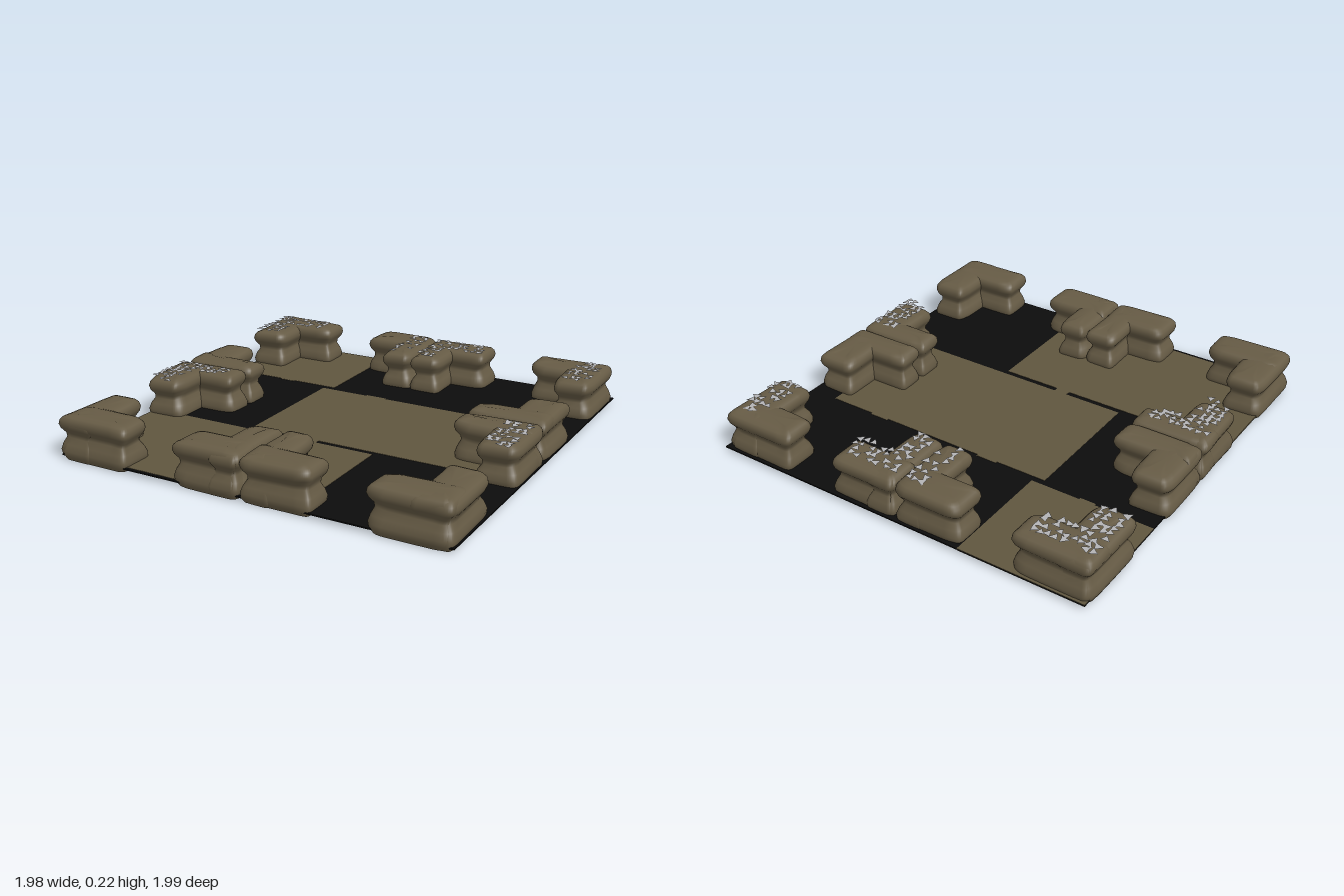
import * as THREE from 'three';

const mat = (name, color, side = THREE.FrontSide) => {
  const m = new THREE.MeshStandardMaterial({ color, side });
  m.name = name;
  return m;
};

let seed = 7;
const rand = () => ((seed = (seed * 16807) % 2147483647) / 2147483647);

// Side profile of a two-layer sandbag stack: [height, inset]
const PROFILE = [
  [0, 0.014], [0.02, 0.003], [0.045, 0], [0.075, 0.01], [0.105, 0.026], [0.125, 0.024],
  [0.15, 0.006], [0.17, 0], [0.19, 0.004], [0.203, 0.015], [0.21, 0.035], [0.212, 0.06],
];

// Pillow-like block with an open base, lofted from rounded rectangles
function bagGeometry(width, depth, lift) {
  const N = 40, pos = [], idx = [];
  const phase = rand() * 6;
  const soft = (v) => Math.sign(v) * Math.pow(Math.abs(v), 2 / 7);
  PROFILE.forEach(([y, inset], r) => {
    for (let i = 0; i < N; i++) {
      const a = (i / N) * Math.PI * 2;
      const sag = 0.004 * Math.sin(a * 3 + phase + r * 0.3);
      const h = y + (y > 0.1 ? lift + 0.003 * Math.sin(a * 2 + phase) : 0);
      pos.push((width / 2 - inset + sag) * soft(Math.cos(a)), h, (depth / 2 - inset + sag) * soft(Math.sin(a)));
    }
  });
  const rows = PROFILE.length;
  for (let r = 0; r < rows - 1; r++) {
    for (let i = 0; i < N; i++) {
      const a = r * N + i, b = r * N + ((i + 1) % N);
      idx.push(a, a + N, b, b, a + N, b + N);
    }
  }
  // Closed, slightly domed top
  pos.push(0, 0.213 + lift, 0);
  for (let i = 0; i < N; i++) idx.push((rows - 1) * N + i, rows * N, (rows - 1) * N + ((i + 1) % N));
  const g = new THREE.BufferGeometry();
  g.setAttribute('position', new THREE.Float32BufferAttribute(pos, 3));
  g.setIndex(idx);
  g.computeVertexNormals();
  return g;
}

// Scattered flat shards of snow following the top of an L-shaped wall
function snowGeometry(dx, wx, wz) {
  const pos = [], step = 0.034;
  for (let x = 0.035; x < 0.34; x += step) {
    for (let z = 0.07; z < 0.35; z += step) {
      const onZArm = x < wx - 0.03, onXArm = dx > 0 && z < wz - 0.02 && x < 0.32;
      if ((!onZArm && !onXArm) || rand() < 0.25) continue;
      const cx = x + rand() * 0.012, cz = z + rand() * 0.012;
      const turn = rand() * 6;
      for (let k = 0; k < 2; k++) {
        for (let c = 0; c < 3; c++) {
          const a = turn + k * 2.2 - c * 2.1, r = 0.016 + rand() * 0.012;
          pos.push(dx * (cx + Math.cos(a) * r), 0.217 + rand() * 0.003, cz + Math.sin(a) * r);
        }
      }
    }
  }
  const g = new THREE.BufferGeometry();
  g.setAttribute('position', new THREE.Float32BufferAttribute(pos, 3));
  // Every shard faces straight up
  g.setAttribute('normal', new THREE.Float32BufferAttribute(pos.map((_, i) => (i % 3 === 1 ? 1 : 0)), 3));
  // Wind all shards upward
  const p = g.attributes.position, idx = [];
  for (let i = 0; i < p.count; i += 3) {
    const cross = (p.getZ(i + 1) - p.getZ(i)) * (p.getX(i + 2) - p.getX(i))
      - (p.getX(i + 1) - p.getX(i)) * (p.getZ(i + 2) - p.getZ(i));
    idx.push(i, cross > 0 ? i + 1 : i + 2, cross > 0 ? i + 2 : i + 1);
  }
  g.setIndex(idx);
  return g;
}

export function createModel() {
  const model = new THREE.Group();
  model.name = 'sandbagField';
  const bagMat = mat('sandbag brown', 0x665b45);
  const earthMat = mat('earth brown', 0x60563f);
  const darkMat = mat('dark ground', 0x0c0c0c);
  const snowMat = mat('snow grey', 0xb4b4b6, THREE.DoubleSide);

  // Ground sheet and earth patches, given as x0, x1, z0, z1
  const plate = (name, material, [x0, x1, z0, z1], thickness) => {
    const m = new THREE.Mesh(new THREE.BoxGeometry(x1 - x0, thickness, z1 - z0), material);
    m.position.set((x0 + x1) / 2, 0.021, (z0 + z1) / 2);
    m.name = name;
    model.add(m);
  };
  plate('groundSheet', darkMat, [-0.97, 0.99, -1, 0.975], 0.006);
  [
    [-0.97, -0.35, -1, -0.43],
    [-0.4, 0.84, -0.4, 0.27],
    [-0.97, 0.27, 0.295, 0.96],
    [-0.1, -0.03, 0.27, 0.295],
    [-0.14, -0.03, -0.41, -0.4],
    [0.5, 0.6, -0.41, -0.4],
    [-0.68, -0.6, -0.43, -0.42],
  ].forEach((r) => plate('earthPatch', earthMat, r, 0.009));

  // L-shaped walls: corner x, corner z, arm direction in x and z
  const E = 0.985;
  const addWall = (cx, cz, dx, dz) => {
    const wall = new THREE.Group();
    wall.name = 'sandbagWall';
    wall.position.set(cx, 0, cz);
    const lx = cx ? 0.385 : 0.345, wx = cx ? 0.2 : 0.165;
    const lz = cz ? 0.385 : 0.345, wz = cz ? 0.195 : 0.16;
    [['sideArm', lx, wz, 0], ['frontArm', wx, lz, -0.003]].forEach(([name, w, d, lift]) => {
      const bag = new THREE.Mesh(bagGeometry(w, d, lift), bagMat);
      bag.position.set((dx * w) / 2, 0, (dz * d) / 2);
      bag.name = name;
      wall.add(bag);
    });
    if (dz > 0) {
      const snow = new THREE.Mesh(snowGeometry(dx, wx, wz), snowMat);
      snow.name = 'snowCover';
      wall.add(snow);
    }
    model.add(wall);
  };
  for (const cx of [-E, 0, E]) {
    for (const cz of [-E, 0, E]) {
      if (!cx && !cz) continue;
      const xs = cx ? [-Math.sign(cx)] : [-1, 1];
      const zs = cz ? [-Math.sign(cz)] : [-1, 1];
      for (const dx of xs) for (const dz of zs) addWall(cx, cz, dx, dz);
    }
  }
  return model;
}
